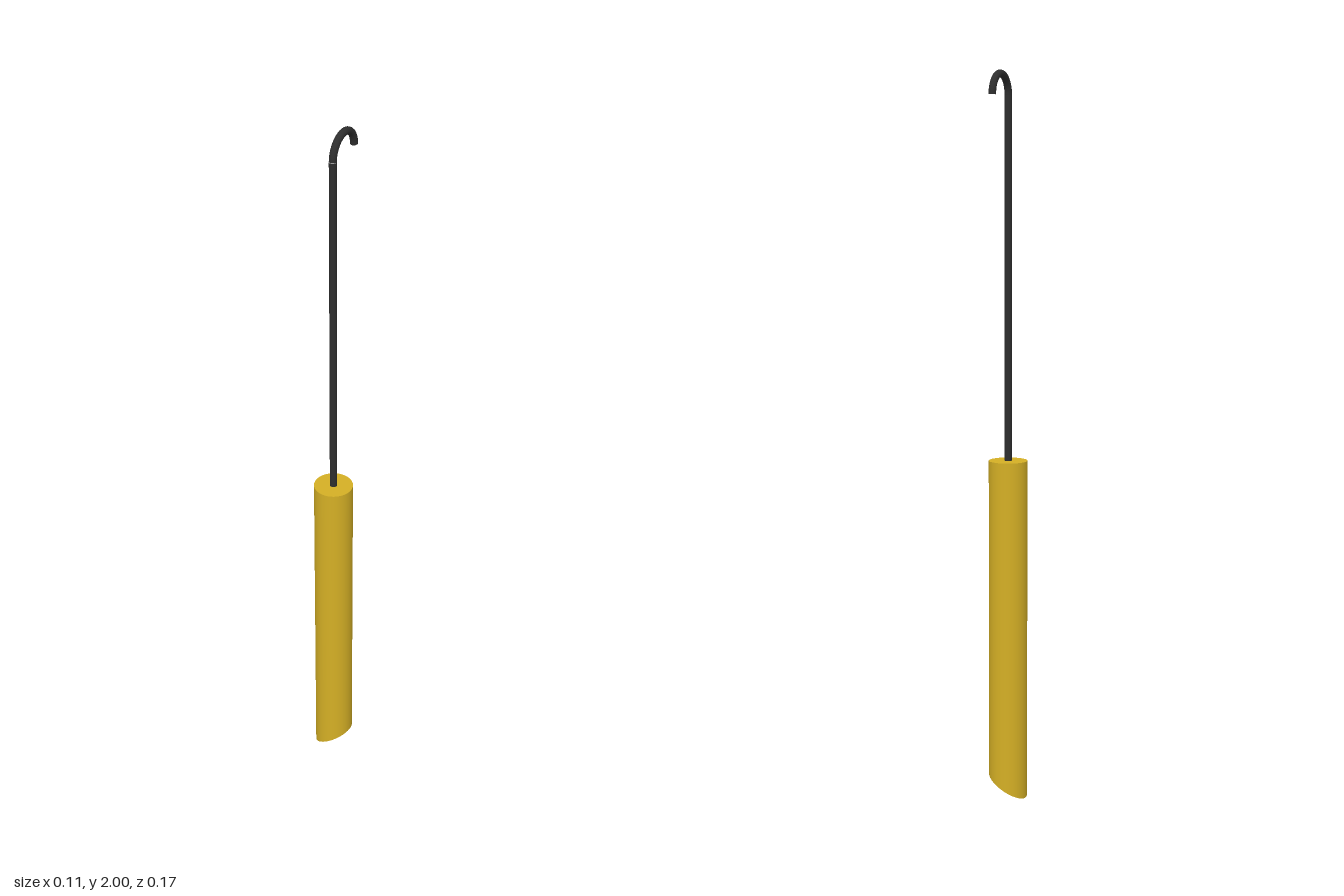
import * as THREE from 'three';

export function createModel() {
  const model = new THREE.Group();
  const yellow = new THREE.MeshStandardMaterial({ color: 0xd4af25, side: THREE.DoubleSide });
  const black = new THREE.MeshStandardMaterial({ color: 0x2e2e2e });
  const axisZ = 0.032, radius = 0.053, top = 0.95, cut = 0.065;

  function add(name, geometry, material) {
    const mesh = new THREE.Mesh(geometry, material);
    mesh.name = name;
    model.add(mesh);
    return mesh;
  }

  // Hollow tube, its lower end cut on a slant that rises towards +x
  const tube = new THREE.CylinderGeometry(radius, radius, top, 64, 1, true);
  tube.translate(0, top / 2, 0);
  const pos = tube.attributes.position;
  for (let i = 0; i < pos.count; i++) {
    if (pos.getY(i) < top / 2) pos.setY(i, cut * (pos.getX(i) + radius) / (2 * radius));
  }
  add('tube', tube, yellow).position.z = axisZ;

  // Flat lid closing the top of the tube
  const lid = new THREE.CircleGeometry(radius, 64);
  lid.rotateX(-Math.PI / 2);
  add('tubeLid', lid, yellow).position.set(0, top, axisZ);

  // Wire: straight shaft, then a half-round hook bending to the back
  const wire = 0.01, bend = 0.055, bendY = 2 - wire - bend;
  const path = new THREE.CurvePath();
  const start = new THREE.Vector3(0, top - 0.02, axisZ);
  const shaftEnd = new THREE.Vector3(0, bendY, axisZ);
  const hookPoints = [];
  for (let i = 0; i <= 16; i++) {
    const a = Math.PI * i / 16;
    hookPoints.push(new THREE.Vector3(0, bendY + bend * Math.sin(a), axisZ - bend + bend * Math.cos(a)));
  }
  path.add(new THREE.LineCurve3(start, shaftEnd));
  add('shaft', new THREE.TubeGeometry(path, 1, wire, 20), black);
  add('hook', new THREE.TubeGeometry(new THREE.CatmullRomCurve3(hookPoints), 40, wire, 20), black);

  // End cap of the hook, facing down
  const tip = new THREE.CircleGeometry(wire, 20);
  tip.rotateX(Math.PI / 2);
  add('hookTip', tip, black).position.set(0, bendY, axisZ - 2 * bend);

  return model;
}
